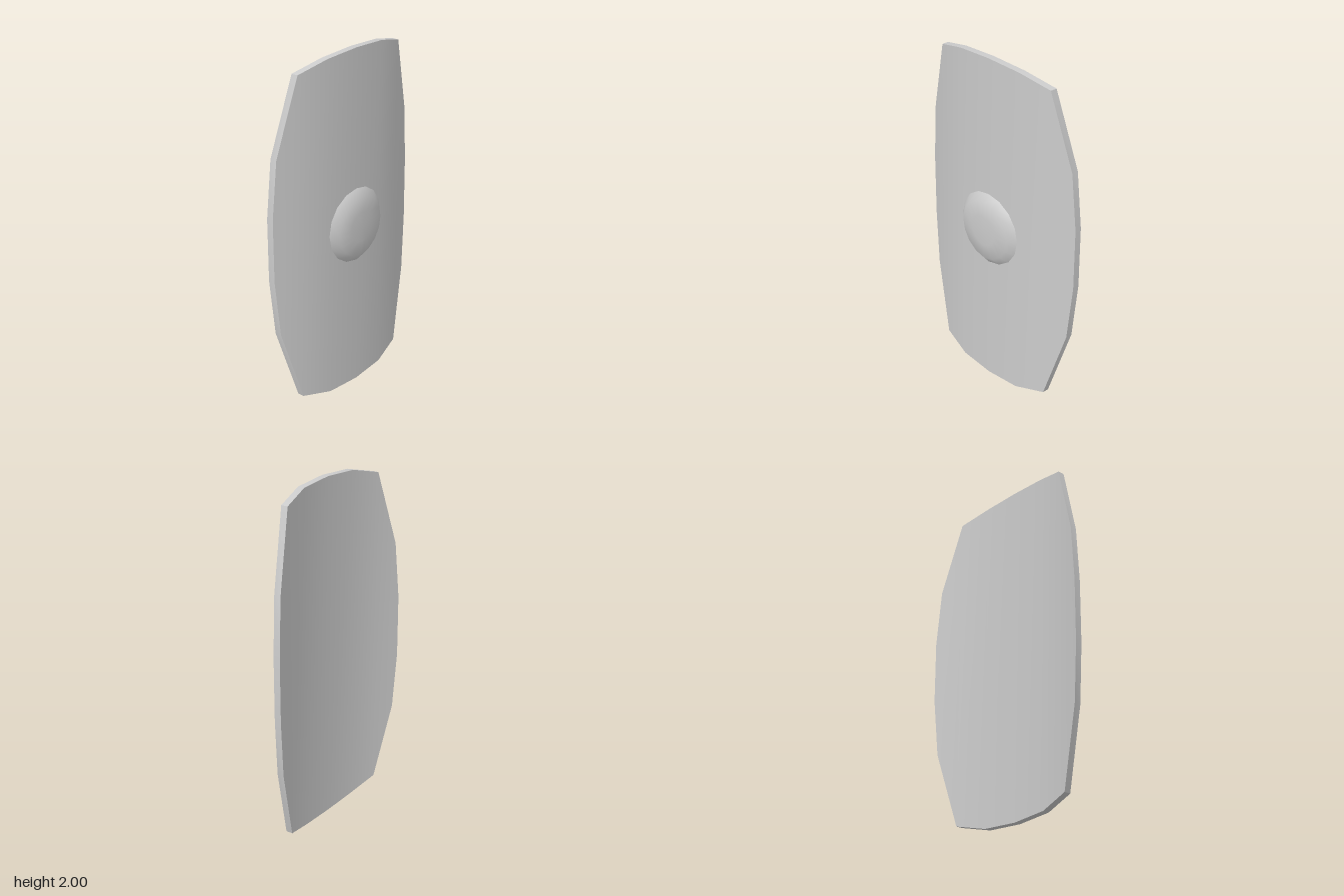
import * as THREE from 'three';
import { toCreasedNormals } from 'three/addons/utils/BufferGeometryUtils.js';

// Right half of the board: [x, half height, front z] for each vertical line
const HALF = [[0, 1, 0.045], [0.22, 0.988, 0.037], [0.41, 0.941, 0], [0.535, 0.51, -0.043], [0.563, 0.18, -0.053]];
const THICK = 0.04;

// Front surface depth of the curved board at a given x
function frontZ(x) {
  const a = Math.abs(x);
  let i = 0;
  while (i < HALF.length - 2 && a > HALF[i + 1][0]) i++;
  const [x0, , z0] = HALF[i], [x1, , z1] = HALF[i + 1];
  return z0 + (z1 - z0) * (a - x0) / (x1 - x0);
}

function makeGeometry(points, index) {
  const g = new THREE.BufferGeometry();
  g.setAttribute('position', new THREE.Float32BufferAttribute(points, 3));
  g.setIndex(index);
  return g;
}

// Curved board with four points per vertical line: front bottom/top, back top/bottom
function boardGeometry() {
  const lines = [...HALF.slice(1).reverse().map(([x, h, z]) => [-x, h, z]), ...HALF];
  const points = [], index = [];
  lines.forEach(([x, h, z]) => points.push(
    x, 1 - h, z, x, 1 + h, z, x, 1 + h, z - THICK, x, 1 - h, z - THICK));
  for (let i = 0; i < lines.length - 1; i++) {
    for (let k = 0; k < 4; k++) {
      const a = i * 4 + k, b = i * 4 + (k + 1) % 4;
      index.push(a, a + 4, b + 4, a, b + 4, b);
    }
  }
  // End caps
  const e = (lines.length - 1) * 4;
  index.push(0, 1, 2, 0, 2, 3, e, e + 2, e + 1, e, e + 3, e + 2);
  return toCreasedNormals(makeGeometry(points, index), 0.6);
}

// Low dome that follows the bend of the board
function bossGeometry() {
  const rings = [[1, -0.003], [0.79, 0.036], [0.4, 0.043]], sides = 16;
  const points = [], index = [];
  for (const [r, h] of rings) {
    for (let s = 0; s < sides; s++) {
      const t = s / sides * Math.PI * 2;
      const x = 0.223 * r * Math.cos(t);
      points.push(x, 0.99 + 0.22 * r * Math.sin(t), frontZ(x) + h);
    }
  }
  points.push(0, 0.99, frontZ(0) + 0.046);
  const tip = rings.length * sides;
  for (let j = 0; j < rings.length; j++) {
    for (let s = 0; s < sides; s++) {
      const a = j * sides + s, b = j * sides + (s + 1) % sides;
      if (j === rings.length - 1) index.push(a, b, tip);
      else index.push(a, b, b + sides, a, b + sides, a + sides);
    }
  }
  const g = makeGeometry(points, index);
  g.computeVertexNormals();
  return g;
}

export function createModel() {
  const grey = new THREE.MeshStandardMaterial({ color: 0xcccccc });
  grey.name = 'light grey';
  const model = new THREE.Group();
  model.name = 'shield';
  const add = (name, geometry) => {
    const mesh = new THREE.Mesh(geometry, grey);
    mesh.name = name;
    model.add(mesh);
  };
  add('board', boardGeometry());
  add('boss', bossGeometry());
  return model;
}
